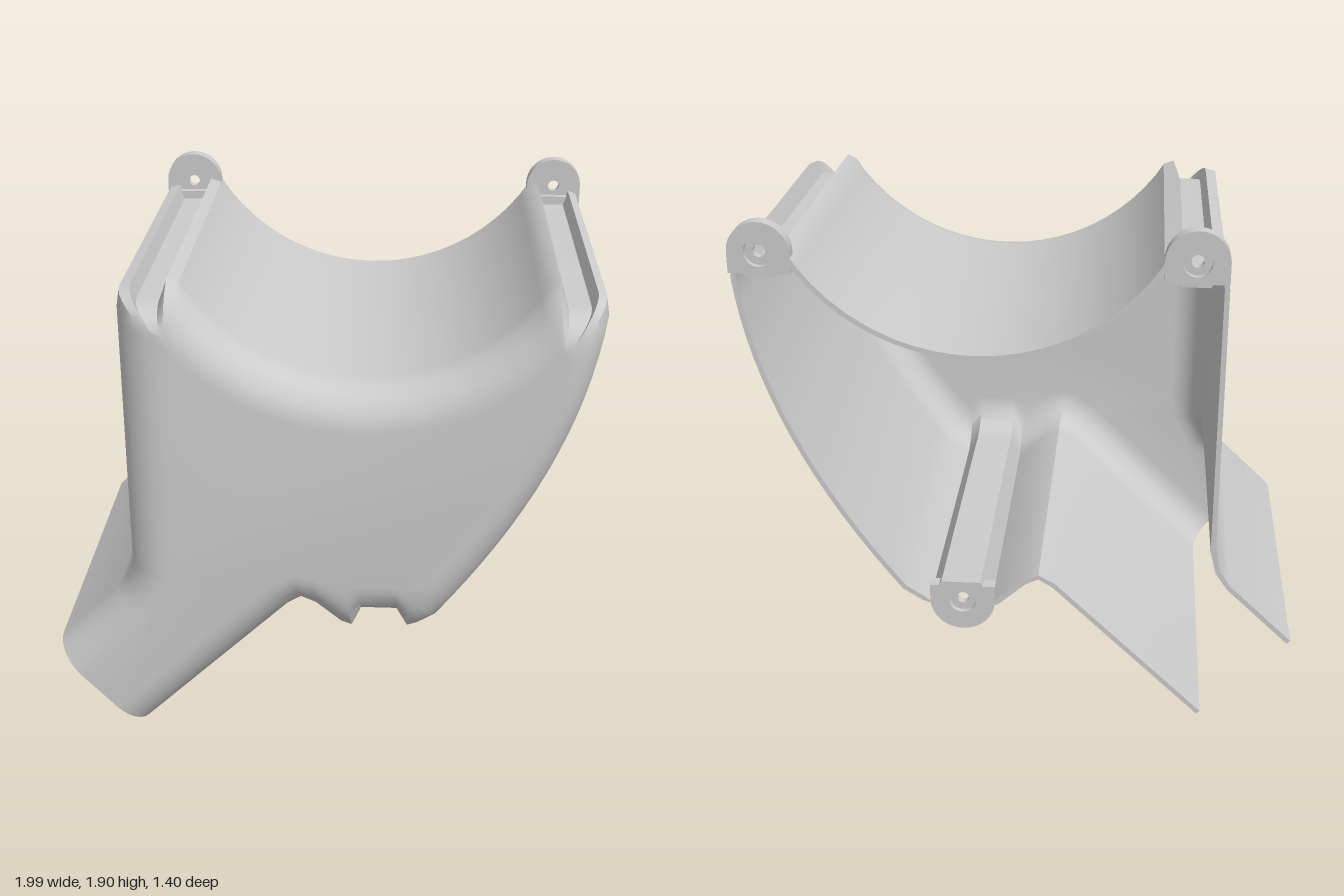
import * as THREE from 'three';
import { toCreasedNormals } from 'three/addons/utils/BufferGeometryUtils.js';

const BACK = -0.71, BEND = 0.54, FRONT = 0.695, WALL = 0.018;
const V = (x, y) => new THREE.Vector2(x, y);

// Pairs of points: side wall outline, and the edge of the flat front it rounds into
function outlines() {
  const wall = [], face = [];
  const add = (...rows) => rows.forEach(([a, b, c, d]) => { wall.push(V(a, b)); face.push(V(c, d)); });
  // chute top, left side, left screw groove
  add([-1, 0.34, -0.895, 0.235], [-0.77, 0.56, -0.65, 0.47], [-0.73, 0.62, -0.58, 0.6],
    [-0.71, 0.7, -0.56, 0.7], [-0.71, 1.7, -0.56, 1.6], [-0.7, 1.76, -0.56, 1.62],
    [-0.66, 1.77, -0.555, 1.63], [-0.64, 1.72, -0.55, 1.635], [-0.56, 1.72, -0.54, 1.635],
    [-0.53, 1.8, -0.53, 1.62], [-0.49, 1.785, -0.52, 1.59]);
  // saddle arc
  const N = 20, rad = THREE.MathUtils.degToRad;
  for (let i = 0; i <= N; i++) {
    const a = rad(217 + (106 * i) / N), b = rad(224 + (92 * i) / N);
    add([0.145 + 0.754 * Math.cos(a), 2.19 + 0.754 * Math.sin(a),
      0.145 + 0.905 * Math.cos(b), 2.19 + 0.905 * Math.sin(b)]);
  }
  // right screw groove
  add([0.78, 1.785, 0.81, 1.59], [0.81, 1.8, 0.82, 1.605], [0.84, 1.72, 0.825, 1.61],
    [0.92, 1.72, 0.835, 1.61], [0.94, 1.77, 0.84, 1.6], [0.97, 1.76, 0.845, 1.58]);
  // curved right side
  const outer = new THREE.QuadraticBezierCurve(V(0.98, 1.7), V(0.92, 1.12), V(0.43, 0.5)).getPoints(16);
  const inner = new THREE.QuadraticBezierCurve(V(0.845, 1.55), V(0.77, 1.1), V(0.345, 0.63)).getPoints(16);
  outer.forEach((p, i) => add([p.x, p.y, inner[i].x, inner[i].y]));
  // bottom screw groove and chute underside
  add([0.36, 0.455, 0.335, 0.64], [0.32, 0.44, 0.32, 0.655], [0.28, 0.52, 0.28, 0.67],
    [0.15, 0.52, 0.14, 0.67], [0.115, 0.435, 0.1, 0.66], [0.075, 0.45, 0.06, 0.66],
    [-0.02, 0.535, -0.02, 0.695], [-0.07, 0.56, -0.1, 0.71], [-0.12, 0.53, -0.22, 0.64],
    [-0.67, 0, -0.775, 0.105]);
  return { wall, face };
}

// Move an open clockwise path inward
function inset(path, t) {
  const last = path.length - 1;
  return path.map((p, i) => {
    const d = path[Math.min(i + 1, last)].clone().sub(path[Math.max(i - 1, 0)]).normalize();
    return V(p.x + d.y * t, p.y - d.x * t);
  });
}

// Rows of points from the back rim, along the wall and round onto the front
function skin(wall, face, t) {
  const path = t ? inset(wall, t) : wall, STEPS = 8;
  const rows = [path.map((p) => new THREE.Vector3(p.x, p.y, BACK))];
  for (let k = 0; k <= STEPS; k++) {
    const a = (k / STEPS) * Math.PI / 2;
    const z = BEND + (FRONT - t - BEND) * Math.sin(a);
    rows.push(path.map((p, i) => {
      const q = p.clone().lerp(face[i], 1 - Math.cos(a));
      return new THREE.Vector3(q.x, q.y, z);
    }));
  }
  return rows;
}

function shellGeometry() {
  const { wall, face } = outlines();
  const pos = [];
  const tri = (...ps) => ps.forEach((p) => pos.push(p.x, p.y, p.z));
  const quad = (a, b, c, d) => { tri(a, b, c); tri(a, c, d); };
  const grid = (rows, flip) => {
    for (let k = 0; k + 1 < rows.length; k++)
      for (let i = 0; i + 1 < rows[k].length; i++) {
        const q = [rows[k][i], rows[k + 1][i], rows[k + 1][i + 1], rows[k][i + 1]];
        quad(...(flip ? q.reverse() : q));
      }
  };
  const out = skin(wall, face, 0), inn = skin(wall, face, WALL);
  grid(out, false);
  grid(inn, true);
  // flat front, outside and inside
  const ccw = [...face].reverse();
  for (const [rows, flip] of [[out, false], [inn, true]]) {
    const pts = [...rows[rows.length - 1]].reverse();
    for (const f of THREE.ShapeUtils.triangulateShape(ccw, []))
      tri(...(flip ? [...f].reverse() : f).map((i) => pts[i]));
  }
  // rims of the open back and the open chute end
  grid([inn[0], out[0]], false);
  const end = wall.length - 1;
  const mouth = (rows) => [...rows.map((r) => r[0]), ...rows.map((r) => r[end]).reverse()];
  grid([mouth(out), mouth(inn)], false);
  const g = new THREE.BufferGeometry();
  g.setAttribute('position', new THREE.Float32BufferAttribute(pos, 3));
  return toCreasedNormals(g, 0.6);
}

// One layer of a screw tab: rounded end, straight sides, round hole
function tabLayer(r, foot, hole, depth) {
  const s = new THREE.Shape();
  s.moveTo(-r, -foot);
  s.lineTo(r, -foot);
  s.lineTo(r, 0);
  s.absarc(0, 0, r, 0, Math.PI, false);
  s.closePath();
  s.holes.push(new THREE.Path().absarc(0, 0, hole, 0, Math.PI * 2, true));
  return new THREE.ExtrudeGeometry(s, { depth, bevelEnabled: false, curveSegments: 12 });
}

export function createModel() {
  const model = new THREE.Group();
  const mat = new THREE.MeshStandardMaterial({ color: 0xcccccc, side: THREE.DoubleSide });
  const mesh = (name, geo, parent) => {
    const m = new THREE.Mesh(geo, mat);
    m.name = name;
    parent.add(m);
    return m;
  };
  mesh('coverShell', shellGeometry(), model);

  // screw tabs at the back rim: counterbored plate with a small foot in the groove
  const tabs = [
    ['rightScrewTab', -0.6, 1.79, 0, 0.11, 0.075],
    ['leftScrewTab', 0.88, 1.79, 0, 0.108, 0.075],
    ['bottomScrewTab', 0.21, 0.46, Math.PI, 0.12, 0.06],
  ];
  for (const [name, x, y, turn, r, foot] of tabs) {
    const tab = new THREE.Group();
    tab.name = name;
    tab.position.set(x, y, BACK);
    tab.rotation.z = turn;
    mesh('counterbore', tabLayer(r, foot, 0.05, 0.02), tab);
    mesh('plate', tabLayer(r, foot, 0.022, 0.03), tab).position.z = 0.02;
    mesh('foot', new THREE.BoxGeometry(0.11, 0.035, 0.03), tab).position.set(0, -0.055, 0.063);
    model.add(tab);
  }
  return model;
}
